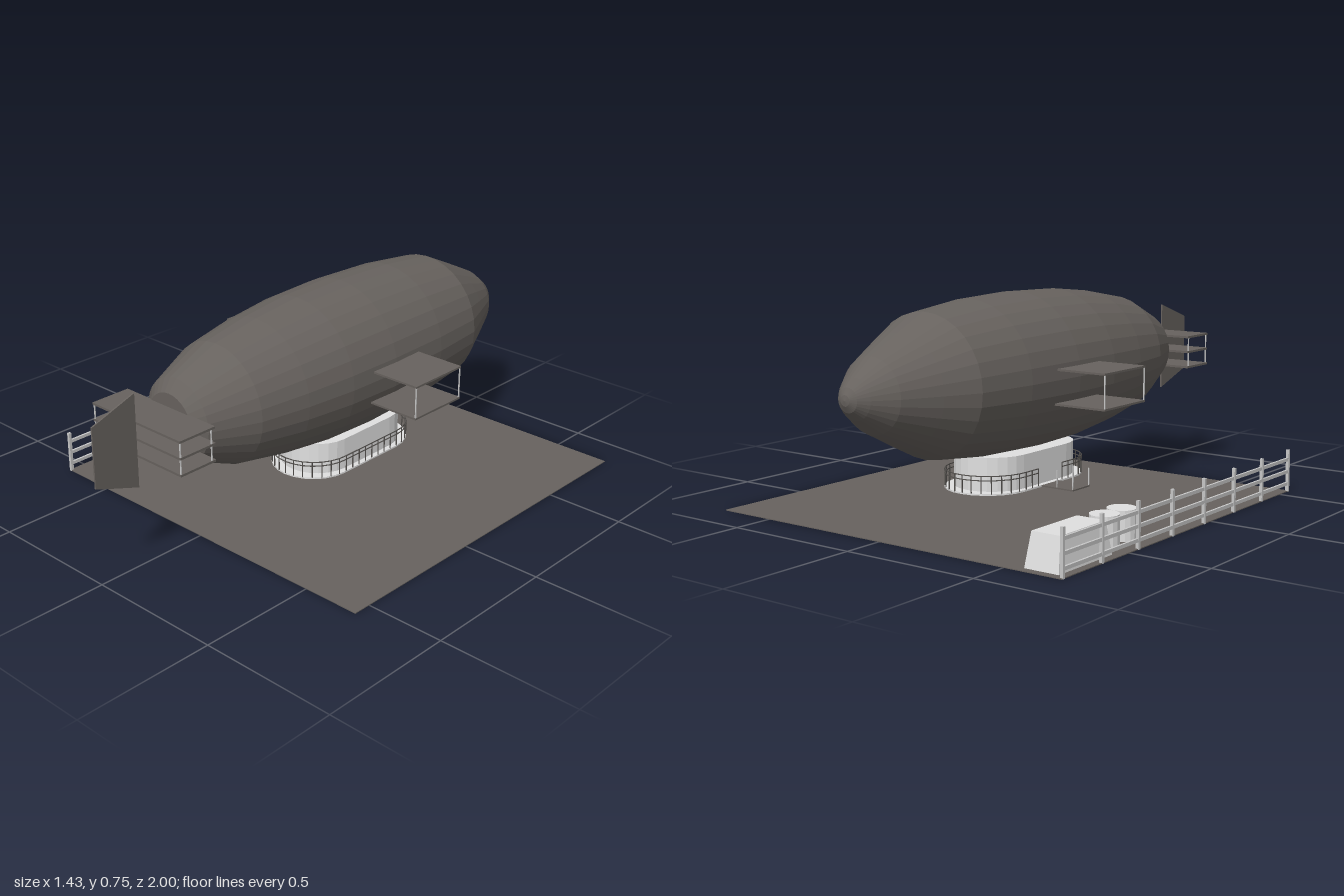
import * as THREE from 'three';

export function createModel() {
  const root = new THREE.Group();
  const mat = (name, color) => {
    const m = new THREE.MeshStandardMaterial({ color, flatShading: true });
    m.name = name;
    return m;
  };
  const canvas = mat('dark canvas', 0x67625e);
  const pale = mat('pale metal', 0xe0e0e0);
  const fenceGrey = mat('light grey', 0xc8c8c8);
  const iron = mat('dark iron', 0x55524f);

  const add = (name, geo, material, parent = root) => {
    const mesh = new THREE.Mesh(geo, material);
    mesh.name = name;
    parent.add(mesh);
    return mesh;
  };
  const group = (name) => {
    const g = new THREE.Group();
    g.name = name;
    root.add(g);
    return g;
  };
  // Box given by its minimum and maximum corners
  const span = (name, [x0, y0, z0], [x1, y1, z1], material, parent) => {
    const geo = new THREE.BoxGeometry(x1 - x0, y1 - y0, z1 - z0);
    geo.translate((x0 + x1) / 2, (y0 + y1) / 2, (z0 + z1) / 2);
    return add(name, geo, material, parent);
  };
  const post = (name, x, z, y0, y1, t, material, parent) =>
    span(name, [x - t / 2, y0, z - t / 2], [x + t / 2, y1, z + t / 2], material, parent);

  // Ground plate
  span('ground', [-0.713, 0, -0.86], [0.713, 0.003, 0.567], canvas);

  // Hull: pointed nose at -z, blunt tail at +z
  const profile = [
    [0, -1], [0.018, -0.997], [0.04, -0.985], [0.068, -0.955], [0.124, -0.88], [0.187, -0.75],
    [0.243, -0.63], [0.268, -0.4], [0.277, -0.14], [0.271, 0.08], [0.25, 0.28],
    [0.217, 0.47], [0.147, 0.645], [0.104, 0.68], [0, 0.68],
  ].map(([r, z]) => new THREE.Vector2(r, z));
  const hull = new THREE.LatheGeometry(profile, 32);
  hull.rotateX(Math.PI / 2);
  hull.translate(0, 0.47, 0);
  add('hull', hull, canvas);

  // Paired side planes with outer struts
  for (const s of [-1, 1]) {
    const wing = group(s > 0 ? 'leftWing' : 'rightWing');
    for (const y of [0.387, 0.505]) {
      const plane = new THREE.BoxGeometry(0.26, 0.007, 0.245);
      plane.translate(s * 0.33, y, -0.143);
      add('wingPlane', plane, canvas, wing);
    }
    for (const z of [-0.262, -0.024]) post('wingStrut', s * 0.457, z, 0.387, 0.505, 0.004, fenceGrey, wing);
  }

  // Tail: three stacked planes
  const tail = group('tail');
  for (const y of [0.404, 0.463, 0.521])
    span('tailPlane', [-0.213, y - 0.004, 0.675], [0.21, y + 0.004, 0.825], canvas, tail);
  for (const x of [-0.207, 0.207])
    for (const z of [0.69, 0.822]) post('tailStrut', x, z, 0.404, 0.521, 0.004, fenceGrey, tail);

  // Tapered rudder; shape x becomes z
  const rudderShape = new THREE.Shape([
    new THREE.Vector2(-0.825, 0.29), new THREE.Vector2(-0.825, 0.625),
    new THREE.Vector2(-1, 0.565), new THREE.Vector2(-1, 0.35),
  ]);
  const rudder = new THREE.ExtrudeGeometry(rudderShape, { depth: 0.006, bevelEnabled: false });
  rudder.rotateY(Math.PI / 2);
  rudder.translate(-0.003, 0, 0);
  add('rudder', rudder, canvas, tail);

  // Gondola and deck share a round-ended outline
  const outline = (r, half) => {
    const s = new THREE.Shape();
    s.absarc(0, 0.15 + half, r, 0, Math.PI);
    s.absarc(0, 0.15 - half, r, Math.PI, Math.PI * 2);
    s.closePath();
    return s;
  };
  const slab = (name, shape, y0, y1, material, parent) => {
    const geo = new THREE.ExtrudeGeometry(shape, { depth: y1 - y0, bevelEnabled: false, curveSegments: 6 });
    geo.rotateX(-Math.PI / 2);
    geo.translate(0, y0, 0);
    return add(name, geo, material, parent);
  };
  const gondola = group('gondola');
  slab('cabin', outline(0.135, 0.125), 0.085, 0.203, pale, gondola);
  slab('deck', outline(0.155, 0.145), 0.08, 0.086, pale, gondola);

  // Deck railing, open at the boarding platform
  const points = outline(0.153, 0.145).getSpacedPoints(44)
    .map((p) => new THREE.Vector3(p.x, 0, -p.y));
  const inGap = (p) => p.x < 0 && Math.abs(p.z + 0.15) < 0.045;
  points.forEach((p, i) => {
    if (inGap(p)) return;
    if (i > 0) post('railPost', p.x, p.z, 0.084, 0.147, 0.003, iron, gondola);
    const q = points[i + 1];
    if (!q || inGap(q)) return;
    for (const y of [0.131, 0.146]) {
      const rail = add('handrail', new THREE.BoxGeometry(0.003, 0.003, p.distanceTo(q)), iron, gondola);
      rail.position.copy(p).add(q).multiplyScalar(0.5).setY(y);
      rail.rotation.y = Math.atan2(q.x - p.x, q.z - p.z);
    }
  });

  // Boarding platform
  span('boardingPlatform', [-0.287, 0.081, -0.2], [-0.15, 0.086, -0.1], canvas, gondola);
  for (const x of [-0.285, -0.22])
    for (const z of [-0.198, -0.102]) post('platformPost', x, z, 0.084, 0.147, 0.003, fenceGrey, gondola);

  // Fence along one edge
  const fence = group('fence');
  for (let i = 0; i < 8; i++) post('fencePost', -0.709, 0.562 - i * 0.2017, 0, 0.155, 0.011, fenceGrey, fence);
  for (const y of [0.03, 0.075, 0.12])
    span('fenceRail', [-0.713, y - 0.006, -0.85], [-0.705, y + 0.006, 0.562], fenceGrey, fence);

  // Crate with sides leaning inward
  const crate = new THREE.BoxGeometry(0.126, 0.112, 0.28);
  const pos = crate.attributes.position;
  for (let i = 0; i < pos.count; i++)
    if (pos.getY(i) > 0) {
      pos.setX(i, pos.getX(i) * 0.84);
      pos.setZ(i, pos.getZ(i) * 0.84);
    }
  crate.translate(-0.622, 0.058, -0.695);
  add('crate', crate, pale);

  // Two matching barrels
  for (const z of [-0.51, -0.412]) {
    const barrel = new THREE.CylinderGeometry(0.049, 0.049, 0.1, 16);
    barrel.translate(-0.625, 0.065, z);
    add('barrel', barrel, pale);
  }

  return root;
}
